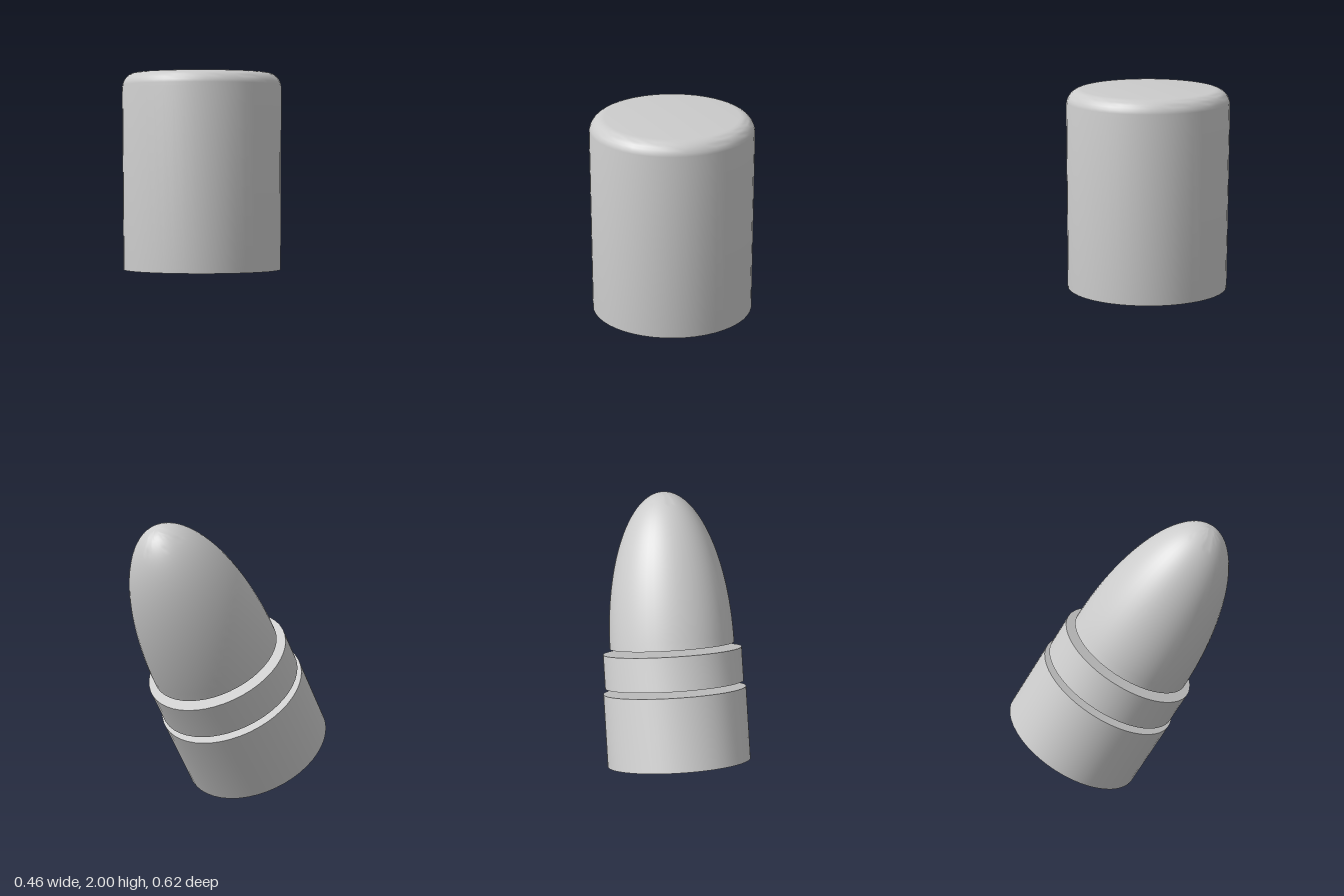
import * as THREE from 'three';
import { toCreasedNormals } from 'three/addons/utils/BufferGeometryUtils.js';

const material = new THREE.MeshStandardMaterial({ color: 0xcccccc });

// Revolve a [radius, height] profile, keeping hard edges sharp
function turned(name, profile) {
  const points = profile.map(([r, y]) => new THREE.Vector2(r, y));
  const geometry = toCreasedNormals(new THREE.LatheGeometry(points, 48), 0.6);
  const mesh = new THREE.Mesh(geometry, material);
  mesh.name = name;
  return mesh;
}

const disc = (name, radius, y0, y1) =>
  turned(name, [[0, y0], [radius, y0], [radius, y1], [0, y1]]);

// Quarter-ellipse profile from the rim up to the axis
function dome(radius, height, y, steps) {
  const points = [];
  for (let i = 0; i <= steps; i++) {
    const a = (i / steps) * Math.PI / 2;
    points.push([i === steps ? 0 : radius * Math.cos(a), y + height * Math.sin(a)]);
  }
  return points;
}

export function createModel() {
  const group = new THREE.Group();

  // Hollow cap, open at the bottom, with a rounded top edge
  const R = 0.2115, wall = 0.02, bottom = 1.48, top = 2, fillet = 0.04;
  const ri = R - wall;
  const corner = dome(fillet, fillet, top - fillet, 8).map(([r, y]) => [R - fillet + r, y]);
  const cap = turned('cap', [
    [0, top - wall], [ri - 0.02, top - wall], [ri, top - wall - 0.02], [ri, bottom],
    [R, bottom], ...corner, [0, top],
  ]);
  cap.position.set(-0.02, 0, 0.083);
  group.add(cap);

  // Tilted stack: base, ring and pointed nose, separated by thin gaps
  const slug = new THREE.Group();
  slug.name = 'tiltedSlug';
  slug.add(disc('base', 0.21, 0, 0.212));
  slug.add(disc('ring', 0.204, 0.229, 0.328));
  slug.add(turned('nose', [[0, 0.343], ...dome(0.183, 0.452, 0.343, 28)]));
  slug.position.set(0.022, 0.105, -0.125);
  slug.quaternion.setFromUnitVectors(
    new THREE.Vector3(0, 1, 0), new THREE.Vector3(-0.085, 0.867, 0.49).normalize());
  group.add(slug);

  return group;
}
